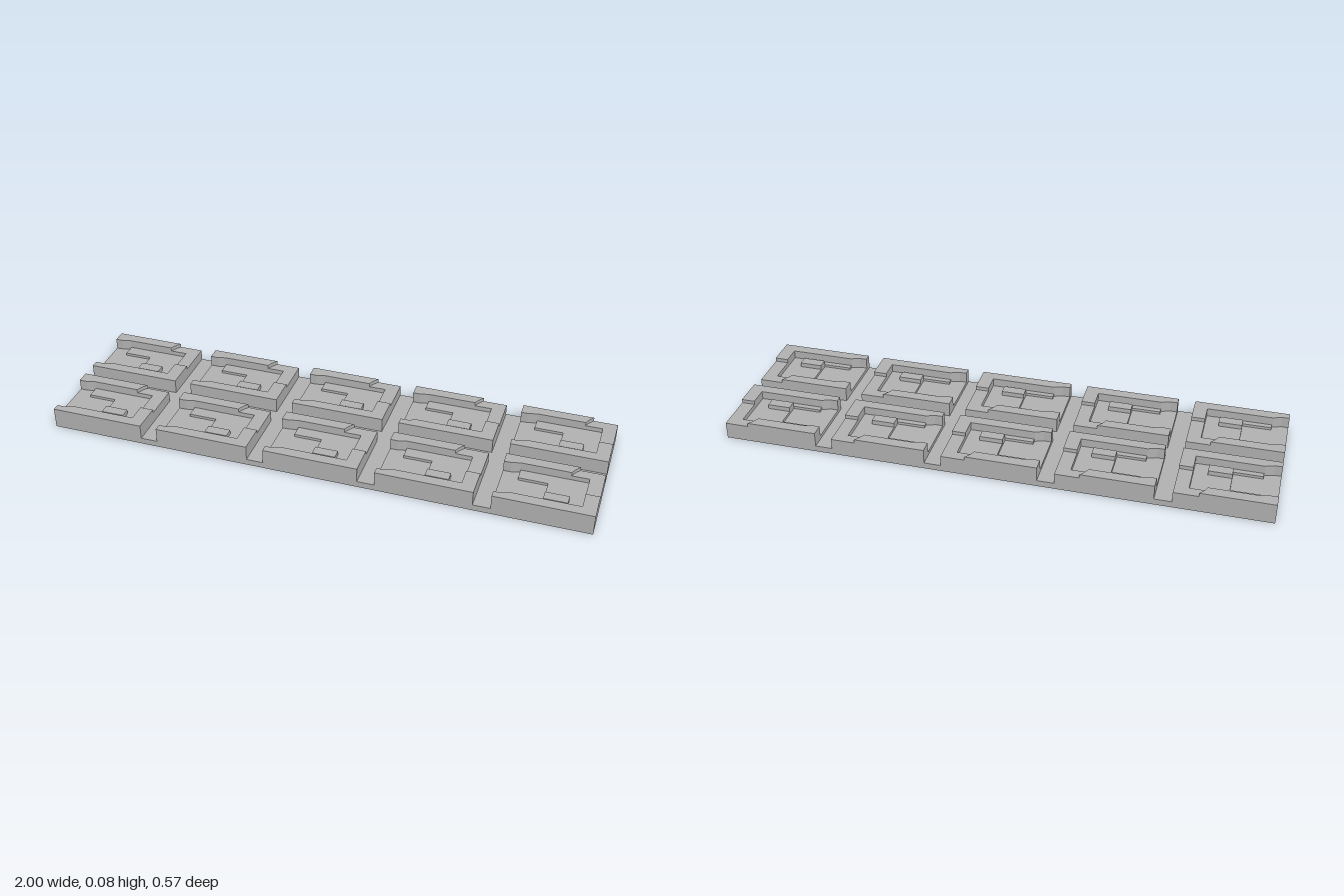
import * as THREE from 'three';

const TILE_W = 0.35, TILE_D = 0.253, PITCH_X = 0.4125, DEPTH = 0.566;
const BASE = 0.023, POCKET = 0.036, FLOOR = 0.046, LOW = 0.063, TOP = 0.077;

export function createModel() {
  const model = new THREE.Group();
  model.name = 'reliefTray';
  const grey = new THREE.MeshStandardMaterial({ color: 0xb0b0b0 });
  grey.name = 'plainGrey';

  // Plan shape (x to the right, y toward the front) raised from bottom to top
  function slab(name, shape, bottom, top) {
    const geo = new THREE.ExtrudeGeometry(shape, { depth: top - bottom, bevelEnabled: false, curveSegments: 8 });
    geo.rotateX(Math.PI / 2).translate(0, top, 0);
    const mesh = new THREE.Mesh(geo, grey);
    mesh.name = name;
    return mesh;
  }
  const outline = (points) => new THREE.Shape(points.map(([x, z]) => new THREE.Vector2(x, z)));
  const rect = (x0, z0, x1, z1) => outline([[x0, z0], [x1, z0], [x1, z1], [x0, z1]]);

  // Back rail with a curved, slanting end
  const railShape = new THREE.Shape();
  railShape.moveTo(0, 0);
  railShape.lineTo(0.262, 0);
  railShape.quadraticCurveTo(0.247, 0.016, 0.237, 0.04);
  railShape.lineTo(0.06, 0.04);
  railShape.lineTo(0.027, 0.048);
  railShape.lineTo(0, 0.048);
  railShape.closePath();

  // Stepped floor wrapping round the open pocket
  const floorShape = outline([[0.06, 0.04], [0.30, 0.04], [0.30, 0.213], [0.06, 0.213],
    [0.06, 0.193], [0.165, 0.193], [0.165, 0.086], [0.06, 0.086]]);
  const frontShape = outline([[0, 0.225], [0.027, 0.225], [0.06, 0.213], [TILE_W, 0.213],
    [TILE_W, TILE_D], [0, TILE_D]]);

  function makeTile() {
    const tile = new THREE.Group();
    tile.add(
      slab('pocketFloor', rect(0, 0, TILE_W, TILE_D), BASE, POCKET),
      slab('steppedFloor', floorShape, POCKET, FLOOR),
      slab('backRail', railShape, POCKET, TOP),
      slab('backCorner', rect(0.237, 0, TILE_W, 0.04), POCKET, LOW),
      slab('lowEndWall', rect(0.30, 0.04, TILE_W, 0.143), POCKET, LOW),
      slab('highEndWall', rect(0.30, 0.143, TILE_W, 0.213), POCKET, TOP),
      slab('frontRail', frontShape, POCKET, TOP),
      slab('keyBar', rect(0.165, 0.155, 0.25, 0.193), POCKET, LOW)
    );
    return tile;
  }

  // Base plate, left bare in the channels between the tiles
  model.add(slab('basePlate', rect(-1, -DEPTH / 2, 1, DEPTH / 2), 0, BASE));

  // Five columns by two rows of identical tiles
  for (let row = 0; row < 2; row++) {
    for (let col = 0; col < 5; col++) {
      const tile = makeTile();
      tile.name = `tile${row * 5 + col + 1}`;
      tile.position.set(-1 + col * PITCH_X, 0, row ? DEPTH / 2 - TILE_D : -DEPTH / 2);
      model.add(tile);
    }
  }
  return model;
}
